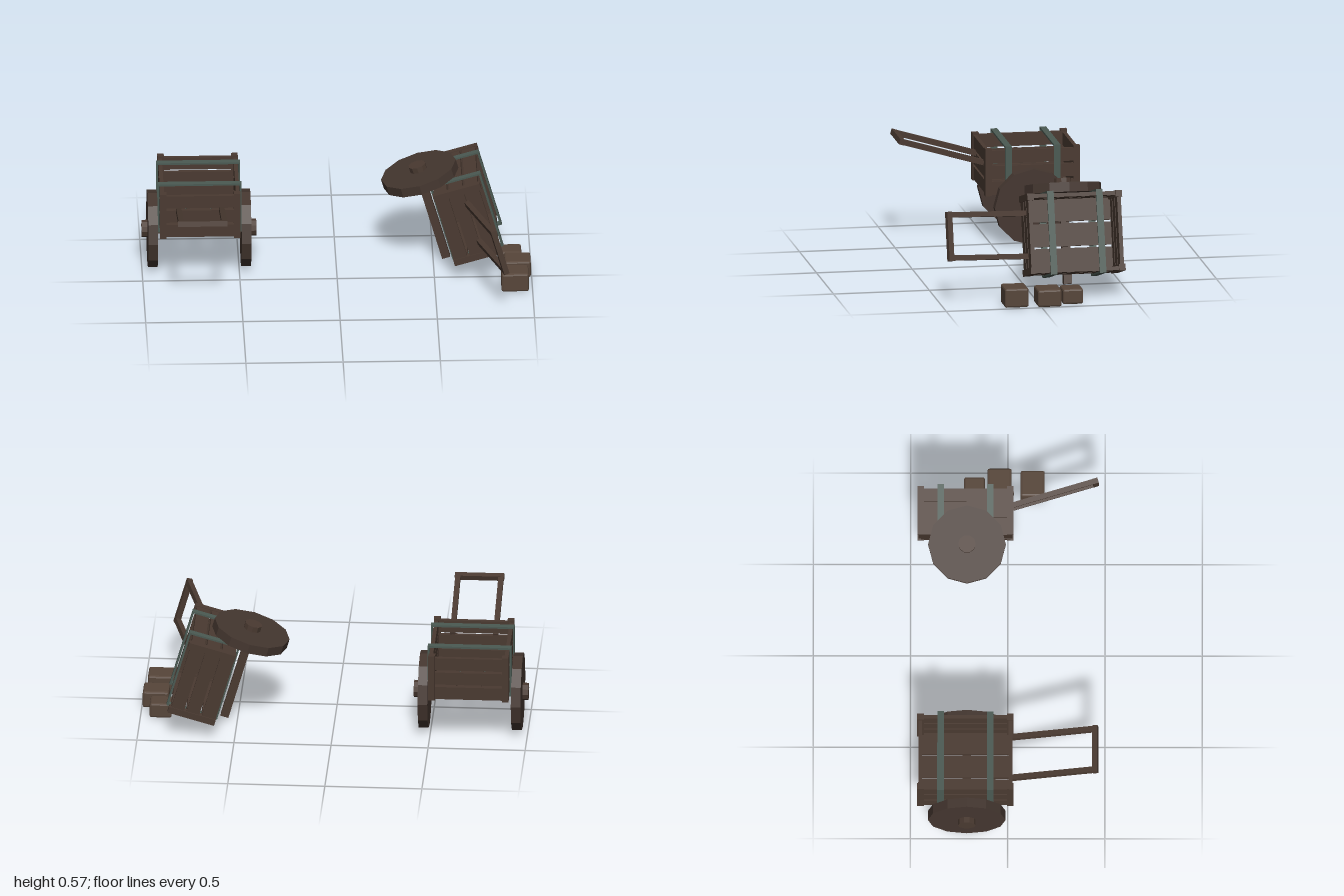
import * as THREE from 'three';
import { RoundedBoxGeometry } from 'three/addons/geometries/RoundedBoxGeometry.js';

const mat = (color) => {
  const m = new THREE.MeshStandardMaterial({ flatShading: true });
  m.color.set(color);
  return m;
};
const wood = mat(0x4a3a31), darkWood = mat(0x44362f), iron = mat(0x4b5a53), crateWood = mat(0x57463a);

function add(parent, name, geometry, material, x, y, z) {
  const mesh = new THREE.Mesh(geometry, material);
  mesh.name = name;
  mesh.position.set(x, y, z);
  parent.add(mesh);
  return mesh;
}
const box = (parent, name, w, h, d, x, y, z, material = wood) =>
  add(parent, name, new THREE.BoxGeometry(w, h, d), material, x, y, z);

const MID = -0.2175; // middle of the cart bed along z
const AXLE_Y = 0.2, AXLE_Z = -0.21;

// Solid twelve-sided wheel with a hub on its outer face
function makeWheel(side) {
  const wheel = new THREE.Group();
  wheel.name = side > 0 ? 'leftWheel' : 'rightWheel';
  const disc = add(wheel, 'wheelDisc', new THREE.CylinderGeometry(0.2, 0.2, 0.05, 12), darkWood, 0, 0, 0);
  const hub = add(wheel, 'wheelHub', new THREE.CylinderGeometry(0.045, 0.045, 0.04, 10), wood, side * 0.035, 0, 0);
  disc.rotation.z = hub.rotation.z = Math.PI / 2;
  wheel.position.set(side * 0.24, AXLE_Y, AXLE_Z);
  return wheel;
}

// Flat iron hoop around the whole bed
function makeStrap(z) {
  const hoop = new THREE.Shape();
  const rect = (path, x, y0, y1) => {
    path.moveTo(-x, y0);
    path.lineTo(x, y0);
    path.lineTo(x, y1);
    path.lineTo(-x, y1);
    path.closePath();
  };
  rect(hoop, 0.216, 0.241, 0.513);
  const hole = new THREE.Path();
  rect(hole, 0.207, 0.25, 0.503);
  hoop.holes.push(hole);
  const strap = new THREE.Mesh(
    new THREE.ExtrudeGeometry(hoop, { depth: 0.034, bevelEnabled: false }), iron);
  strap.name = 'ironStrap';
  strap.position.z = z - 0.017;
  return strap;
}

function makeCart(name, wheelSides) {
  const cart = new THREE.Group();
  cart.name = name;

  // Floor planks
  for (let i = -1; i <= 1; i++) {
    box(cart, 'floorPlank', 0.118, 0.02, 0.46, i * 0.128, 0.264, MID);
  }
  // Corner posts
  for (const sx of [-1, 1]) {
    for (const sz of [-1, 1]) {
      box(cart, 'cornerPost', 0.034, 0.25, 0.034, sx * 0.19, 0.378, MID + sz * 0.2305);
    }
  }
  // Three rows of wall planks on all four sides
  for (const y of [0.294, 0.376, 0.457]) {
    for (const s of [-1, 1]) {
      box(cart, 'sidePlank', 0.02, 0.068, 0.47, s * 0.194, y, MID);
      box(cart, 'endPlank', 0.4, 0.068, 0.02, 0, y, MID + s * 0.232);
    }
  }
  for (const z of [-0.09, -0.345]) cart.add(makeStrap(z));

  // Axle and wheels
  box(cart, 'axle', 0.5, 0.042, 0.042, 0, AXLE_Y, AXLE_Z);
  for (const side of wheelSides) cart.add(makeWheel(side));

  // Sloping pull bars joined by a grip
  const start = new THREE.Vector2(0.01, 0.408), end = new THREE.Vector2(0.45, 0.537);
  const span = end.clone().sub(start);
  const centre = start.clone().add(end).multiplyScalar(0.5);
  for (const s of [-1, 1]) {
    const bar = box(cart, 'pullBar', 0.027, 0.027, span.length(), s * 0.111, centre.y, centre.x);
    bar.rotation.x = -span.angle();
  }
  const grip = box(cart, 'pullGrip', 0.254, 0.028, 0.028, 0, end.y, end.x);
  grip.rotation.x = -span.angle();
  return cart;
}

export function createModel() {
  const model = new THREE.Group();
  model.name = 'handcarts';

  const standing = makeCart('standingCart', [-1, 1]);
  standing.position.x = -0.705;

  // Tipped cart lies on its side with one wheel missing
  const tipped = makeCart('tippedCart', [-1]);
  tipped.position.set(0.305, 0.205, 0);
  tipped.rotation.z = THREE.MathUtils.degToRad(-74);
  model.add(standing, tipped);

  // Spilled blocks: width, height, depth, x, z
  const blocks = [
    [0.14, 0.1, 0.124, 0.91, 0.127],
    [0.135, 0.09, 0.124, 0.928, -0.043],
    [0.112, 0.08, 0.106, 0.896, -0.172],
  ];
  for (const [w, h, d, x, z] of blocks) {
    add(model, 'spilledBlock', new RoundedBoxGeometry(w, h, d, 1, 0.01), crateWood, x, h / 2, z);
  }
  return model;
}
